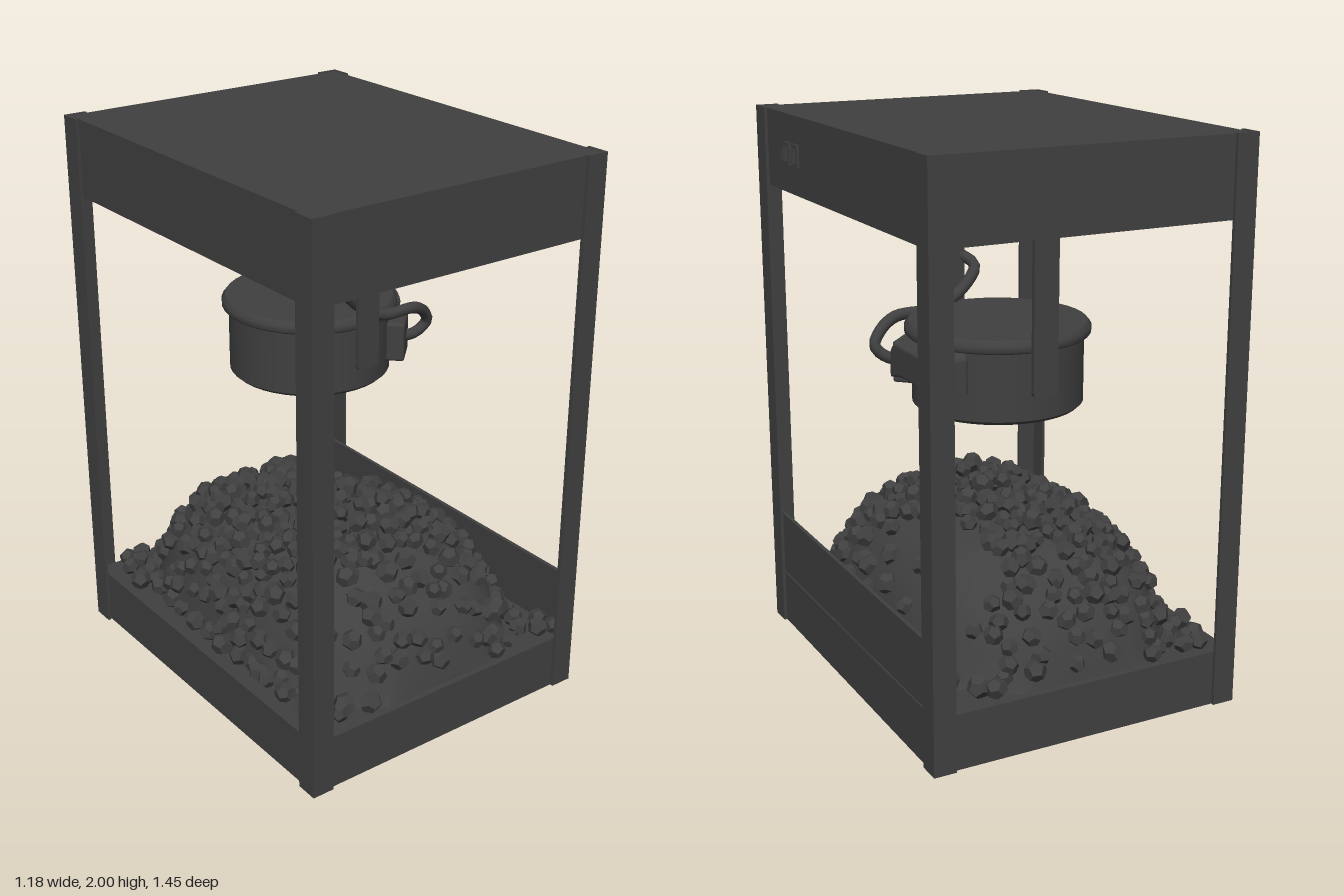
import * as THREE from 'three';
import { mergeGeometries } from 'three/addons/utils/BufferGeometryUtils.js';
import { RoundedBoxGeometry } from 'three/addons/geometries/RoundedBoxGeometry.js';

const COLOR = 0x404040;
const smooth = new THREE.MeshStandardMaterial({ color: COLOR, side: THREE.DoubleSide });
const flat = new THREE.MeshStandardMaterial({ color: COLOR, flatShading: true });

const CX = -0.006; // middle of the cabinet in x
const KETTLE = { x: 0.08, z: -0.215 };

function add(parent, name, geometry, x = 0, y = 0, z = 0, material = flat) {
  const mesh = new THREE.Mesh(geometry, material);
  mesh.name = name;
  mesh.position.set(x, y, z);
  parent.add(mesh);
  return mesh;
}
const box = (w, h, d) => new THREE.BoxGeometry(w, h, d);

function seeded(seed) {
  return () => {
    seed = (seed * 1664525 + 1013904223) % 4294967296;
    return seed / 4294967296;
  };
}

// Height of the heap over the floor plan
function heapHeight(x, z) {
  const u = Math.abs((x - CX) / 0.5), v = Math.abs(z / 0.69);
  const r = Math.min(1, Math.pow(u ** 3 + v ** 3, 1 / 3));
  return 0.195 + 0.4 * Math.pow(1 - r ** 3.4, 0.65);
}

function cabinet() {
  const g = new THREE.Group();
  g.name = 'cabinet';
  add(g, 'base', box(1.14, 0.2, 1.424), CX, 0.1, 0);
  add(g, 'sidePanel', box(0.014, 0.24, 1.42), CX + 0.558, 0.32, 0);

  // Hood, open below
  const hood = new THREE.Group();
  hood.name = 'hood';
  g.add(hood);
  add(hood, 'hoodTop', box(1.14, 0.015, 1.424), CX, 1.99, 0);
  for (const s of [-1, 1]) {
    add(hood, 'hoodSide', box(0.014, 0.27, 1.424), CX + s * 0.563, 1.855, 0);
    add(hood, 'hoodFace', box(1.112, 0.27, 0.014), CX, 1.855, s * 0.705);
  }

  // Corner posts of angle section
  const w = 0.082, t = 0.012;
  for (const sx of [-1, 1]) for (const sz of [-1, 1]) {
    const section = new THREE.Shape(
      [[0, 0], [w, 0], [w, t], [t, t], [t, w], [0, w]].map(
        ([a, b]) => new THREE.Vector2(-sx * a, sz * b)));
    const geo = new THREE.ExtrudeGeometry(section, { depth: 2, bevelEnabled: false });
    geo.rotateX(-Math.PI / 2);
    add(g, 'cornerPost', geo, -0.008 + sx * 0.584, 0, sz * 0.724);
  }

  // Pair of rocker switches
  for (const z of [0.36, 0.438]) {
    add(g, 'switchPlate', box(0.012, 0.08, 0.05), 0.568, 1.86, z);
    const rocker = add(g, 'switchRocker', box(0.02, 0.05, 0.03), 0.574, 1.86, z);
    rocker.rotation.z = 0.2;
  }
  return g;
}

function kettle() {
  const g = new THREE.Group();
  g.name = 'kettle';
  g.position.set(KETTLE.x, 0, KETTLE.z);
  const lathe = pts => new THREE.LatheGeometry(pts.map(p => new THREE.Vector2(...p)), 40);
  const body = lathe([[0, 1.065], [0.28, 1.065], [0.28, 1.065], [0.293, 1.077], [0.293, 1.077], [0.293, 1.32]]);
  add(g, 'kettleBody', body, 0, 0, 0, smooth);
  const lid = lathe([[0.29, 1.31], [0.31, 1.31], [0.31, 1.31], [0.317, 1.318], [0.317, 1.338],
    [0.303, 1.355], [0.303, 1.355], [0, 1.355]]);
  add(g, 'kettleLid', lid, 0, 0, 0, smooth);

  // Hanging straps with pivot pins
  const strap = new THREE.Shape();
  strap.moveTo(-0.045, 1.985);
  strap.lineTo(-0.045, 1.185);
  strap.quadraticCurveTo(-0.043, 1.17, -0.03, 1.17);
  strap.lineTo(0.03, 1.17);
  strap.quadraticCurveTo(0.043, 1.17, 0.045, 1.185);
  strap.lineTo(0.045, 1.985);
  for (const s of [-1, 1]) {
    add(g, 'hangerStrap', new THREE.ExtrudeGeometry(strap, { depth: 0.016, bevelEnabled: false }),
      0.005, 0, s * 0.336 - 0.008);
    const pin = add(g, 'pivotPin', new THREE.CylinderGeometry(0.02, 0.02, 0.06, 16), 0.005, 1.2, s * 0.308, smooth);
    pin.rotation.x = Math.PI / 2;
  }

  // Grip with an arched underside
  const grip = new THREE.Shape();
  grip.moveTo(-0.14, 1.18);
  grip.quadraticCurveTo(0, 1.22, 0.14, 1.18);
  grip.lineTo(0.14, 1.28);
  grip.quadraticCurveTo(0.135, 1.3, 0.11, 1.3);
  grip.lineTo(-0.1, 1.3);
  grip.quadraticCurveTo(-0.13, 1.29, -0.14, 1.26);
  grip.closePath();
  const gripGeo = new THREE.ExtrudeGeometry(grip, {
    depth: 0.13, bevelSize: 0.012, bevelThickness: 0.012, bevelSegments: 3 });
  gripGeo.rotateY(Math.PI / 2);
  // narrow the grip towards its free end
  const p = gripGeo.attributes.position;
  for (let i = 0; i < p.count; i++) {
    const k = THREE.MathUtils.clamp(p.getX(i) / 0.13, 0, 1);
    p.setZ(i, p.getZ(i) * (1 - 0.12 * k));
    p.setY(i, 1.25 + (p.getY(i) - 1.25) * (1 - 0.12 * k));
  }
  gripGeo.computeVertexNormals();
  add(g, 'kettleHandle', gripGeo, 0.225, 0, -0.055);

  // Socket box where the cable enters
  const socketGeo = new RoundedBoxGeometry(0.13, 0.145, 0.07, 2, 0.01);
  const socket = add(g, 'cableSocket', socketGeo, 0.235, 1.193, 0.215, smooth);
  socket.rotation.y = Math.PI / 4;
  return g;
}

function cable() {
  const path = new THREE.CatmullRomCurve3([
    [0.5, 1.79, 0.2], [0.4, 1.72, 0.2], [0.22, 1.6, 0.175], [0.05, 1.51, 0.13], [0.01, 1.47, 0.095],
    [0.09, 1.38, 0.075], [0.18, 1.335, 0.085], [0.33, 1.325, 0.075], [0.4, 1.285, 0.05],
    [0.425, 1.24, 0.035], [0.385, 1.2, 0.02], [0.32, 1.19, 0],
  ].map(a => new THREE.Vector3(...a)));
  return new THREE.TubeGeometry(path, 60, 0.021, 10, false);
}

// Solid heap under the loose kernels
function heap() {
  const geo = new THREE.PlaneGeometry(1.0, 1.38, 36, 44);
  geo.rotateX(-Math.PI / 2);
  geo.translate(CX, 0, 0);
  const p = geo.attributes.position;
  for (let i = 0; i < p.count; i++) p.setY(i, heapHeight(p.getX(i), p.getZ(i)));
  geo.computeVertexNormals();
  return geo;
}

// Kernels spread evenly over the heap, leaving a patch on the +x flank mostly bare
function kernels() {
  const rand = seeded(7);
  const parts = [], centres = [];
  const m = new THREE.Matrix4(), q = new THREE.Quaternion(), e = new THREE.Euler();
  for (let i = 0; i < 1500; i++) {
    const x = CX + (rand() * 2 - 1) * 0.52, z = (rand() * 2 - 1) * 0.685;
    const keep = rand(), lift = rand();
    const bare = x > 0.16 && z < 0.06 && z > -0.5;
    const sparse = z > 0.4 || x > 0.33;
    if ((bare && keep > 0.03) || (sparse && keep > 0.45)) continue;
    const crown = Math.exp(-((x + 0.03) ** 2 + (z - 0.15) ** 2) / 0.07);
    const y = Math.max(0.235, heapHeight(x, z) + 0.008 + lift * (0.025 + 0.07 * crown));
    const centre = new THREE.Vector3(x, y, z);
    if (centres.some(c => c.distanceTo(centre) < 0.048)) continue;
    centres.push(centre);
    const r = 0.031 + rand() * 0.01;
    q.setFromEuler(e.set(rand() * 6.28, rand() * 6.28, rand() * 6.28));
    m.compose(centre, q, new THREE.Vector3(r, r * (0.85 + rand() * 0.25), r * (0.9 + rand() * 0.25)));
    parts.push(new THREE.DodecahedronGeometry(1, 0).applyMatrix4(m));
  }
  return mergeGeometries(parts);
}

export function createModel() {
  const model = new THREE.Group();
  model.name = 'popcornMachine';
  model.add(cabinet(), kettle());
  add(model, 'powerCable', cable(), 0, 0, 0, smooth);
  add(model, 'popcornHeap', heap(), 0, 0, 0, smooth);
  add(model, 'popcornKernels', kernels());
  return model;
}
